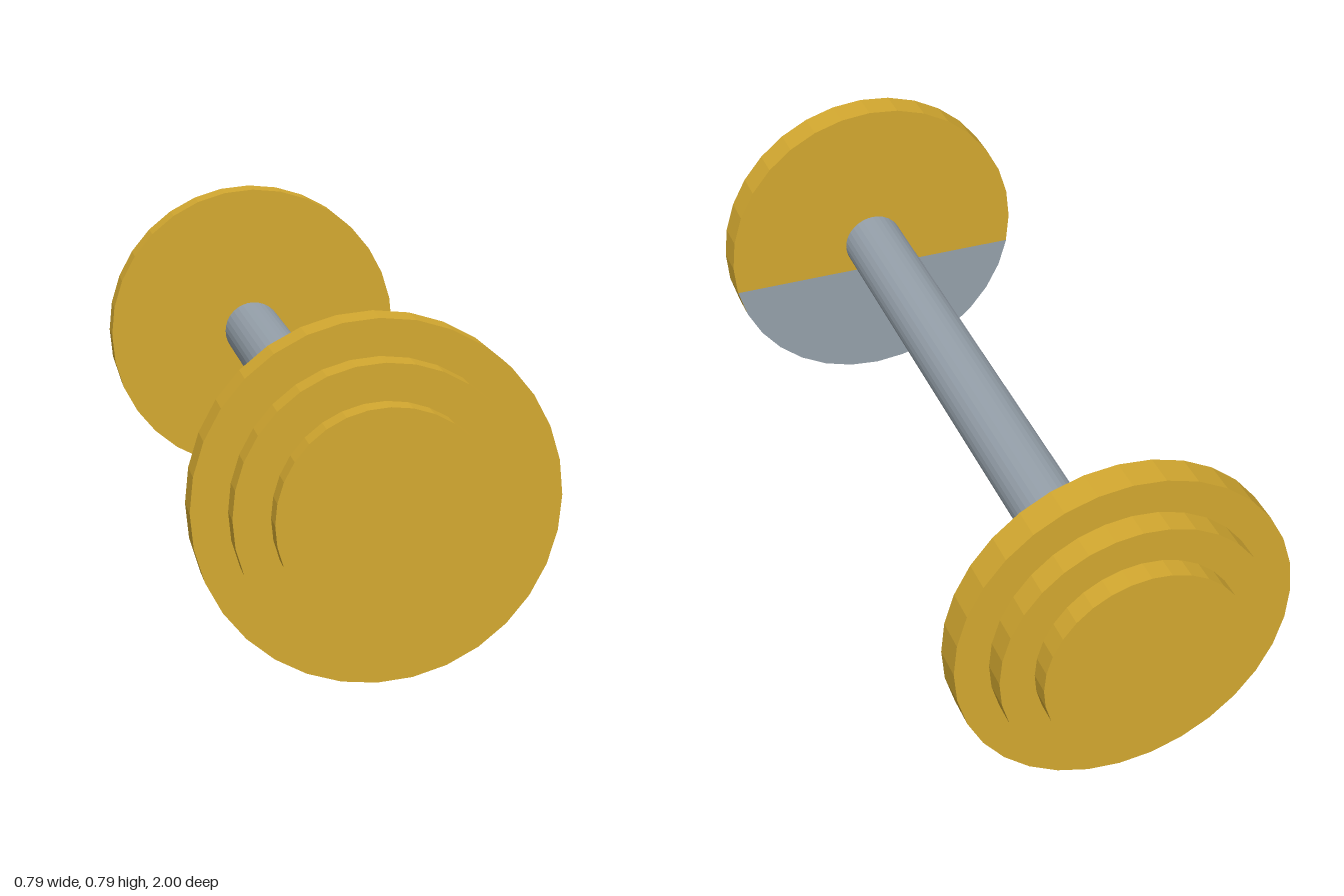
import * as THREE from 'three';

const SIDES = 32, RADIUS = 0.393, INNER = 0.81;

export function createModel() {
  const gold = new THREE.MeshStandardMaterial({ color: 0xd4a930 });
  gold.name = 'gold';
  const steel = new THREE.MeshStandardMaterial({ color: 0x96a1ab });
  steel.name = 'steel grey';

  const model = new THREE.Group();
  model.name = 'dumbbell';

  const add = (name, geometry, material, z, parent) => {
    const mesh = new THREE.Mesh(geometry, material);
    mesh.name = name;
    mesh.position.z = z;
    parent.add(mesh);
  };

  // Faceted cylinder lying along z
  const disc = (radius, length) => {
    const geometry = new THREE.CylinderGeometry(radius, radius, length, SIDES).rotateX(Math.PI / 2).toNonIndexed();
    geometry.computeVertexNormals();
    return geometry;
  };

  // Handle bar
  add('handle', disc(0.078, INNER * 2), steel, 0, model);

  // Stepped weights at both ends: radius, inner z, outer z
  const steps = [
    ['largePlate', RADIUS, INNER, 0.887],
    ['middlePlate', 0.314, 0.887, 0.948],
    ['smallPlate', 0.235, 0.948, 1],
  ];
  for (const side of [1, -1]) {
    const weight = new THREE.Group();
    weight.name = side > 0 ? 'frontWeight' : 'backWeight';
    for (const [name, radius, z0, z1] of steps) {
      add(name, disc(radius, z1 - z0), gold, side * (z0 + z1) / 2, weight);
    }
    model.add(weight);
  }

  // Grey lower part of the front weight's inner face
  const points = [];
  for (let i = 1; i < SIDES / 2; i++) {
    const a = -i * 2 * Math.PI / SIDES;
    points.push(new THREE.Vector2(RADIUS * Math.cos(a), RADIUS * Math.sin(a)));
  }
  const panel = new THREE.ShapeGeometry(new THREE.Shape(points)).rotateY(Math.PI);
  add('innerFacePanel', panel, steel, INNER - 0.002, model);

  model.position.y = RADIUS;
  return model;
}
